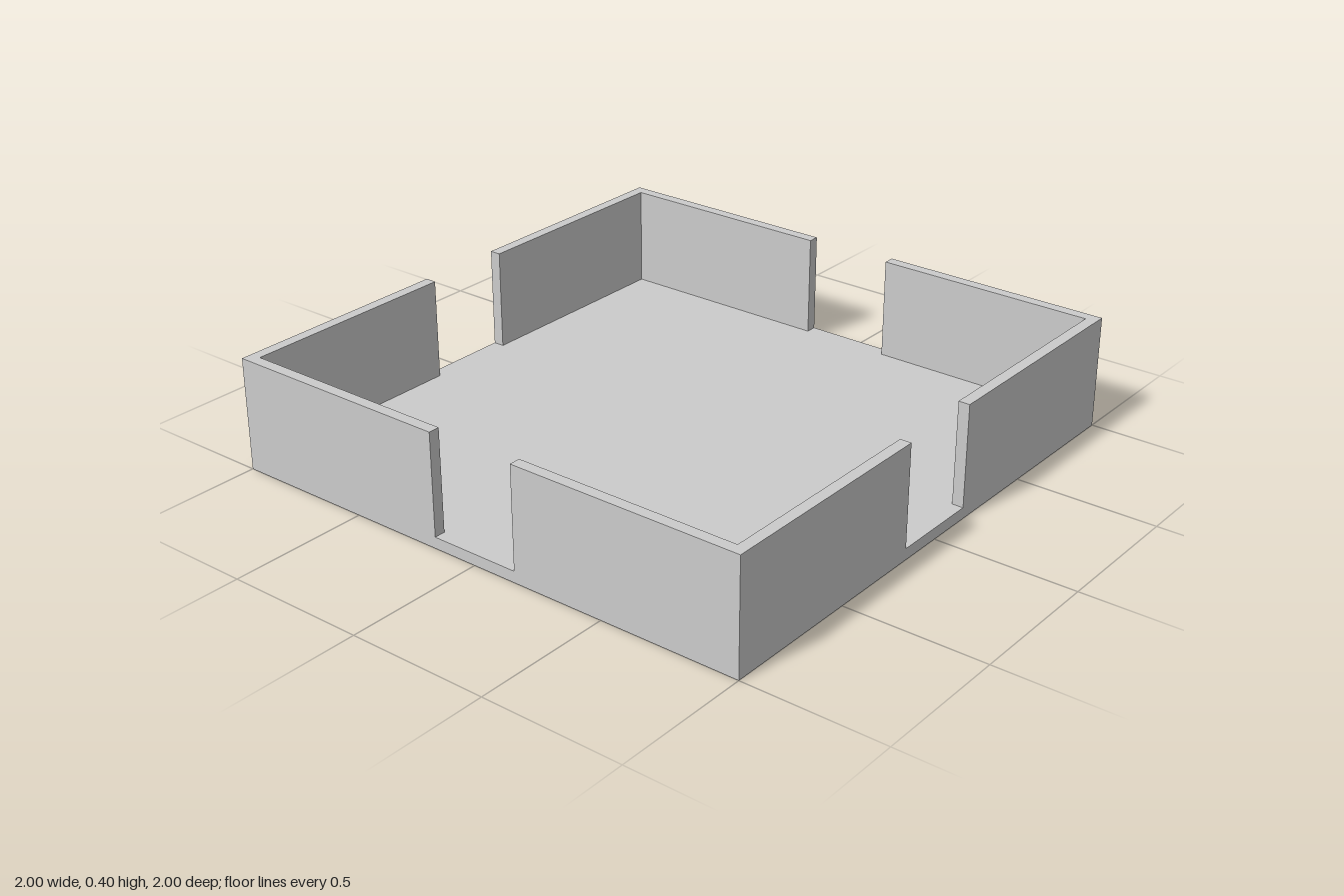
import * as THREE from 'three';

const HALF = 1;         // half the side of the square tray
const HEIGHT = 0.4;
const FLOOR = 0.04;     // floor thickness
const WALL = 0.04;      // wall thickness
const GAP = 0.163;      // half the width of each opening

export function createModel() {
  const group = new THREE.Group();
  group.name = 'openTray';
  const material = new THREE.MeshStandardMaterial({ color: 0xcccccc, flatShading: true });

  // Square floor slab
  const floor = new THREE.Mesh(new THREE.BoxGeometry(2 * HALF, FLOOR, 2 * HALF), material);
  floor.name = 'floor';
  floor.position.y = FLOOR / 2;
  group.add(floor);

  // L-shaped corner wall, repeated around the tray with an opening in each side
  const inner = HALF - WALL;
  const outline = new THREE.Shape([
    [HALF, GAP], [HALF, HALF], [GAP, HALF], [GAP, inner], [inner, inner], [inner, GAP],
  ].map(([x, y]) => new THREE.Vector2(x, y)));
  const wallGeometry = new THREE.ExtrudeGeometry(outline, { depth: HEIGHT - FLOOR, bevelEnabled: false });
  wallGeometry.rotateX(-Math.PI / 2).translate(0, FLOOR, 0);

  ['backLeft', 'backRight', 'frontRight', 'frontLeft'].forEach((corner, i) => {
    const wall = new THREE.Mesh(wallGeometry, material);
    wall.name = `${corner}CornerWall`;
    wall.rotation.y = i * Math.PI / 2;
    group.add(wall);
  });

  return group;
}
